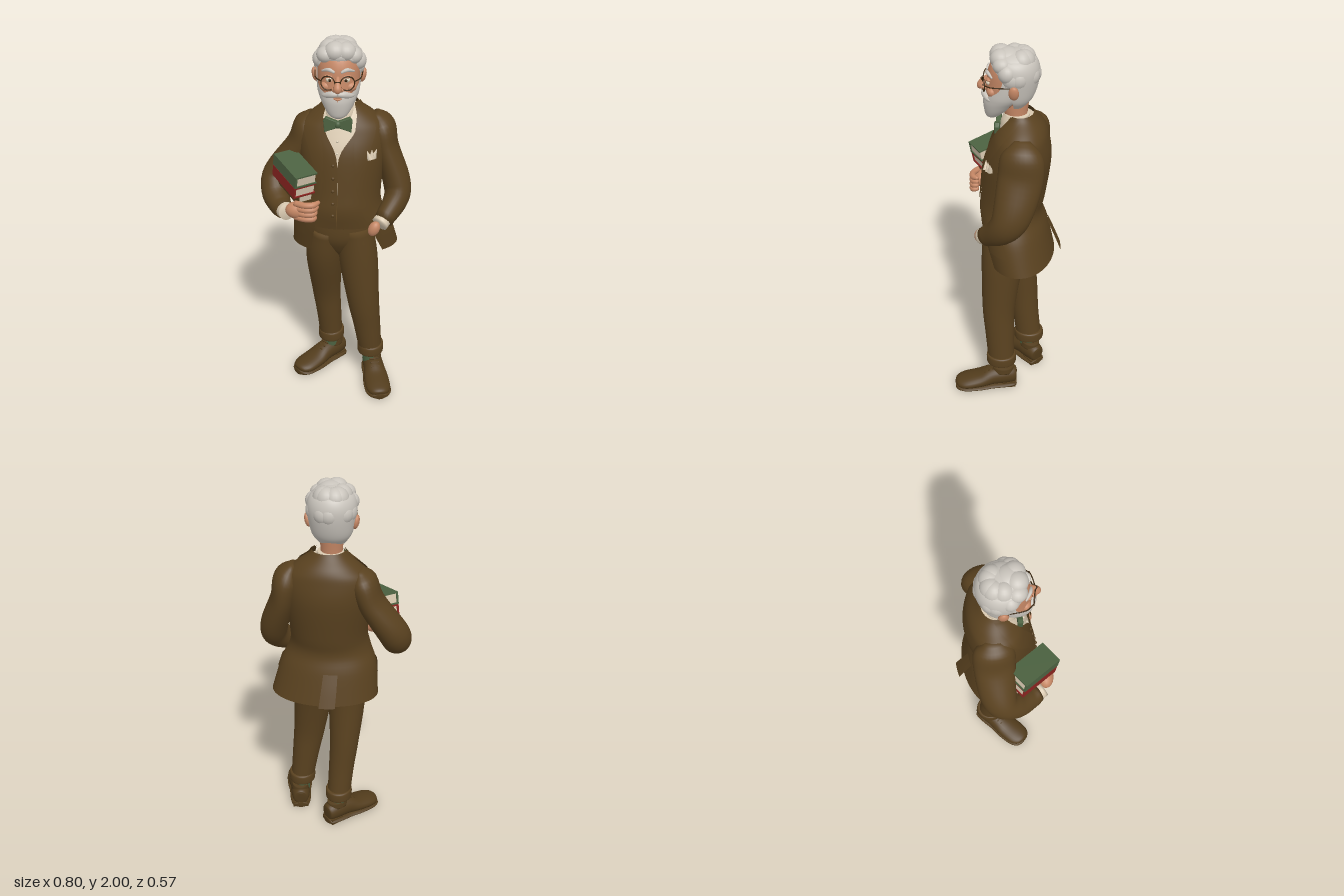
import * as THREE from 'three';

const mat = (name, color, side = THREE.FrontSide) => {
  const m = new THREE.MeshStandardMaterial({ color, side });
  m.name = name;
  return m;
};
const V = (x, y, z) => new THREE.Vector3(x, y, z);
const F = -Math.PI / 2; // ring angle of the front
const B = 3 * Math.PI / 2; // the front again, after going round the back

// Sweep of elliptical rings; row = [x, y, z, radiusA, radiusB, startAngle?, endAngle?]
function sweep(rows, { seg = 28, flat = false } = {}) {
  const open = rows[0].length > 5, steps = (rows.length - 1) * 5, cols = open ? seg + 1 : seg;
  const curve = f => new THREE.CatmullRomCurve3(rows.map(f), false, 'catmullrom', 0.5);
  const path = curve(r => V(r[0], r[1], r[2])), radii = curve(r => V(r[3], r[4], 0));
  const arcs = curve(r => V(r[5] ?? 0, r[6] ?? 2 * Math.PI, 0));
  const d = path.getPoint(1).sub(path.getPoint(0)).normalize();
  const ref = Math.abs(d.x) > 0.8 ? V(0, 1, 0) : V(1, 0, 0);
  const pos = [], idx = [];
  for (let i = 0; i <= steps; i++) {
    const u = i / steps, c = path.getPoint(u), r = radii.getPoint(u), a = arcs.getPoint(u);
    const t = flat ? V(0, 1, 0) : path.getTangent(u);
    const n1 = ref.clone().addScaledVector(t, -ref.dot(t)).normalize(), n2 = t.clone().cross(n1);
    for (let j = 0; j < cols; j++) {
      const w = a.x + (a.y - a.x) * j / seg;
      const p = c.clone().addScaledVector(n1, r.x * Math.cos(w)).addScaledVector(n2, r.y * Math.sin(w));
      pos.push(p.x, p.y, p.z);
      if (i === steps || j === seg) continue;
      const k = (j + 1) % cols, A = i * cols + j, C = i * cols + k;
      idx.push(A, C, A + cols, C, C + cols, A + cols);
    }
  }
  if (!open) { // end caps
    const n = pos.length / 3, e = steps * cols, p = path.getPoint(0), q = path.getPoint(1);
    pos.push(p.x, p.y, p.z, q.x, q.y, q.z);
    for (let j = 0; j < cols; j++) {
      const k = (j + 1) % cols;
      idx.push(n, k, j, n + 1, e + j, e + k);
    }
  }
  const g = new THREE.BufferGeometry();
  g.setAttribute('position', new THREE.Float32BufferAttribute(pos, 3));
  g.setIndex(idx);
  g.computeVertexNormals();
  return g;
}

export function createModel() {
  const suit = mat('brown tweed', 0x59411f, THREE.DoubleSide), leather = mat('shoe leather', 0x523c1c);
  const cream = mat('cream', 0xd9c9b0, THREE.DoubleSide), skin = mat('skin', 0xc58765);
  const hairMat = mat('grey hair', 0xc9c4bc, THREE.DoubleSide), green = mat('green cloth', 0x4c6241);
  const red = mat('red cloth', 0x8a2420), dark = mat('dark frame', 0x3a2710), iris = mat('eye white', 0xe0d4bc);
  const model = new THREE.Group();
  model.name = 'gentleman';
  const add = (name, geo, m, parent = model) => {
    const o = new THREE.Mesh(geo, m);
    o.name = name;
    parent.add(o);
    return o;
  };
  const ball = (name, m, x, y, z, a, b, c, parent = model) => {
    const o = add(name, new THREE.SphereGeometry(1, 20, 14), m, parent);
    o.position.set(x, y, z);
    o.scale.set(a, b, c);
    return o;
  };
  const box = (name, m, x, y, z, a, b, c, parent = model) => {
    const o = add(name, new THREE.BoxGeometry(a, b, c), m, parent);
    o.position.set(x, y, z);
    return o;
  };

  // Jacket: x, y, z, radius x, radius z, opening angle left, opening angle right
  const body = [
    [.05, .838, -.07, .285, .178, .8, .68], [.035, 1, -.032, .255, .178, .65, .58],
    [.03, 1.1, -.01, .215, .17, .57, .54], [.035, 1.2, -.023, .205, .172, .45, .5],
    [.035, 1.4, -.05, .23, .17, .29, .42], [.035, 1.52, -.065, .225, .142, .31, .49],
    [.035, 1.58, -.07, .17, .118, .44, .62], [.03, 1.63, -.067, .105, .082, .75, .85],
    [.03, 1.655, -.062, .082, .066, .95, 1]];
  const ring = (r, grow, t0, t1) => [r[0], r[1], r[2], r[3] + grow, r[4] + grow, t0, t1];
  add('jacket', sweep(body.map(r => ring(r, 0, F + r[5], B - r[6])), { seg: 48, flat: true }), suit);
  const lapelWidth = [.03, .3, .5, .6, .7, .8], upper = body.slice(3);
  add('leftLapel', sweep(upper.map((r, i) => ring(r, .01, F + r[5] - .02, F + r[5] + lapelWidth[i])), { seg: 10, flat: true }), suit);
  add('rightLapel', sweep(upper.map((r, i) => ring(r, .01, B - r[6] - lapelWidth[i], B - r[6] + .02)), { seg: 10, flat: true }), suit);
  const flap = [[.043, .935, -.05, .275, .187], [.035, 1.01, -.032, .26, .183]];
  for (const [name, a, b] of [['leftPocketFlap', F + .85, F + 1.4], ['rightPocketFlap', B - 1.4, B - .8]])
    add(name, sweep(flap.map(r => [...r, a, b]), { seg: 10, flat: true }), suit);
  add('backVent', sweep([[.05, .845, -.07, .285, .212], [.042, .93, -.052, .27, .194], [.035, 1.01, -.032, .25, .178]]
    .map(r => [...r, Math.PI / 2 - .02, Math.PI / 2 + .28]), { seg: 8, flat: true }), suit);

  // Waistcoat and shirt
  add('waistcoat', sweep(body.slice(1, 7).map((r, i) => {
    const g = [0, 0, 0, .02, .3, .48][i];
    return ring(r, -.01, F + g - .08 * (i < 4), B - g - .1);
  }), { seg: 48, flat: true }), suit);
  add('shirt', sweep(body.slice(3, 8).map(r => ring(r, -.018).slice(0, 5)), { seg: 36, flat: true }), cream);
  for (let i = 0; i < 5; i++) ball('waistcoatButton', suit, -.008, 1.36 - i * .068, [.115, .125, .136, .145, .149][i], .009, .009, .007);
  for (const y of [1.42, 1.48]) ball('shirtButton', iris, .012, y, y < 1.45 ? .098 : .08, .006, .006, .005);
  add('neck', sweep([[.02, 1.54, -.06, .06, .055], [.018, 1.62, -.04, .055, .055], [.016, 1.73, -.03, .062, .075]]), skin);
  add('shirtCollar', sweep([[.022, 1.565, -.028, .08, .073], [.022, 1.61, -.035, .077, .071], [.022, 1.645, -.045, .066, .062]], { flat: true }), cream);

  // Bow tie
  const bow = new THREE.Shape([[0, .012], [.06, .036], [.07, .02], [.066, -.036], [0, -.012], [-.066, -.036], [-.07, .02], [-.06, .036]].map(p => new THREE.Vector2(...p)));
  add('bowTie', new THREE.ExtrudeGeometry(bow, { depth: .014, bevelSize: .004, bevelThickness: .006, bevelSegments: 3 }), green).position.set(.014, 1.565, .047);
  ball('bowKnot', green, .014, 1.565, .059, .017, .02, .017);

  // Pocket square
  for (let i = 0; i < 3; i++) {
    const p = add('pocketSquare', new THREE.ConeGeometry(.016, .052, 8), cream);
    p.position.set(.172 + i * .017, 1.42, .1 - i * .012);
    p.rotation.z = .35 - i * .35;
  }

  // Sleeves, cuffs and hands
  add('leftSleeve', sweep([[.205, 1.58, -.085, .02, .04], [.235, 1.51, -.085, .07, .105], [.26, 1.39, -.08, .068, .115],
    [.318, 1.22, -.045, .073, .1], [.322, 1.13, .005, .067, .08], [.255, 1.04, .095, .05, .055]]), suit);
  add('leftCuff', sweep([[.262, 1.053, .085, .044, .044], [.235, 1.027, .118, .044, .044]]), cream);
  ball('leftHand', skin, .208, 1.01, .134, .03, .044, .028).rotation.z = -.4;
  add('rightSleeve', sweep([[-.13, 1.57, -.09, .02, .04], [-.15, 1.51, -.09, .068, .1], [-.195, 1.39, -.095, .07, .105],
    [-.31, 1.22, -.088, .08, .09], [-.32, 1.14, -.015, .075, .075], [-.29, 1.105, .065, .06, .06], [-.262, 1.1, .115, .05, .052]]), suit);
  add('rightCuff', sweep([[-.267, 1.1, .105, .046, .046], [-.245, 1.104, .145, .045, .045]]), cream);
  ball('rightPalm', skin, -.187, 1.128, .165, .066, .047, .045);
  for (let i = 0; i < 4; i++) {
    const y = 1.178 - i * .026, r = .0165;
    add('rightFinger', sweep([[-.2, y - .005, .178, r, r], [-.15, y - .002, .207, r, r], [-.105, y, .205, r, r], [-.076 - i * .008, y + .004, .175, .009, .009]], { seg: 12 }), skin);
  }

  // Books; the spine faces local -x
  const books = new THREE.Group();
  books.name = 'books';
  books.position.set(-.21, 1.275, .09);
  books.rotation.set(.2, .6, 0, 'YXZ');
  model.add(books);
  for (const [name, m, x, y, h, w, l] of [['greenBook', green, 0, .06, .066, .125, .235], ['redBook', red, 0, -.006, .062, .125, .23], ['brownBook', leather, .014, -.066, .054, .09, .21]]) {
    const b = new THREE.Group();
    b.name = name;
    b.position.set(x, y, 0);
    books.add(b);
    for (const s of [-1, 1]) box('cover', m, 0, s * (h / 2 - .004), 0, w, .008, l, b);
    box('spine', m, -w / 2 + .004, 0, 0, .01, h, l, b);
    box('pages', cream, 0, 0, 0, w - .014, h - .014, l - .012, b);
  }

  // Trousers
  add('trouserSeat', sweep([[.032, .79, -.01, .04, .06], [.032, .85, -.012, .13, .105], [.032, .93, -.012, .185, .138], [.03, 1.06, -.018, .185, .145]], { flat: true }), suit);
  add('rightTrouserLeg', sweep([[-.03, .17, -.112, .064, .07], [-.042, .35, -.09, .07, .074], [-.055, .52, -.07, .08, .085], [-.062, .78, -.02, .1, .118], [-.05, .96, -.008, .09, .13]]), suit);
  add('leftTrouserLeg', sweep([[.2, .17, .025, .064, .072], [.178, .35, .035, .075, .08], [.155, .52, .042, .088, .09], [.125, .78, .025, .105, .112], [.11, .96, .002, .09, .13]]), suit);

  // Turn-ups, socks and shoes
  for (const [side, x, z, turn, shift] of [['right', -.03, -.112, -.8, 0], ['left', .2, .025, .19, .014]]) {
    const foot = new THREE.Group();
    foot.name = side + 'Foot';
    foot.position.set(x, 0, z);
    model.add(foot);
    add('turnUp', sweep([[0, .155, 0, .066, .074], [0, .165, 0, .073, .082], [0, .205, 0, .073, .082], [0, .215, 0, .066, .074]]), suit, foot);
    add('sock', sweep([[0, .08, 0, .042, .05], [0, .2, 0, .046, .054]]), green, foot);
    const shoe = new THREE.Group();
    shoe.name = 'shoe';
    shoe.position.x = shift;
    shoe.rotation.y = turn;
    foot.add(shoe);
    const last = [[-.085, .065, .022, .035], [-.075, .066, .044, .048], [-.02, .072, .055, .058], [.05, .068, .058, .055], [.12, .05, .068, .042], [.2, .038, .068, .034], [.24, .034, .05, .026], [.255, .03, .024, .014]];
    add('shoeUpper', sweep(last.map(([l, y, w, h]) => [0, y, l, w, h])), leather, shoe);
    add('shoeSole', sweep(last.map(([l, , w]) => [0, .016, l * 1.02, w + .004, .016])), leather, shoe);
    box('heel', leather, 0, .016, -.04, .088, .032, .075, shoe);
    add('shoeCollar', sweep([[0, .1, -.01, .052, .065], [0, .135, -.012, .047, .058]]), leather, shoe);
    for (let i = 0; i < 3; i++) box('lace', leather, 0, .126 - i * .011, .05 + i * .022, .05, .006, .008, shoe).rotation.x = .4;
  }

  // Head
  const head = new THREE.Group();
  head.name = 'head';
  head.position.x = .016;
  model.add(head);
  add('face', sweep([[0, 1.655, .045, .03, .035], [0, 1.69, .035, .07, .072], [0, 1.75, .015, .1, .1], [0, 1.81, 0, .106, .11],
    [0, 1.88, -.015, .106, .115], [0, 1.93, -.02, .08, .09], [0, 1.95, -.02, .02, .02]], { flat: true }), skin, head);
  add('hair', sweep([[0, 1.69, -.035, .066, .05, 1.5], [0, 1.735, -.034, .1, .088, 1.5], [0, 1.8, -.03, .117, .115, 1.4],
    [0, 1.87, -.03, .126, .125, 1.1], [0, 1.92, -.025, .117, .12, .5], [0, 1.95, -.02, .09, .1, 0], [0, 1.965, -.015, .04, .05, 0]]
    .map(r => [...r.slice(0, 5), F + r[5], B - r[5]]), { seg: 40, flat: true }), hairMat, head);
  // Soft locks around the crown and a raised quiff
  ball('crown', hairMat, 0, 1.925, -.02, .105, .06, .11, head);
  for (let i = 0; i < 16; i++) {
    const t = -.1 + i * .42 % 3.4, row = i % 3;
    ball('lock', hairMat, (.075 - row * .014) * Math.cos(t), 1.862 + row * .033, -.03 - (.075 - row * .012) * Math.sin(t), .057, .06, .056, head);
  }
  for (const [x, y, z, a, b] of [[-.06, 1.928, .035, .05, .042], [-.015, 1.946, .04, .056, .05], [.035, 1.943, .036, .054, .048], [.07, 1.922, .025, .048, .043],
    [-.088, 1.895, 0, .044, .046], [.092, 1.89, 0, .046, .048], [.01, 1.95, .005, .066, .042]])
    ball('quiff', hairMat, x, y, z, a, b, a, head);

  // Beard and moustache
  add('beard', sweep([[0, 1.614, .085, .02, .016, 0], [0, 1.628, .08, .044, .036, 0], [0, 1.66, .064, .068, .06, 0], [0, 1.7, .046, .088, .082, 0],
    [0, 1.728, .03, .1, .095, .1], [0, 1.755, .02, .107, .099, .75], [0, 1.8, .008, .111, .1, 1.25], [0, 1.86, 0, .112, .1, 1.4]]
    .map(r => [...r.slice(0, 5), F + r[5], B - r[5]]), { seg: 40, flat: true }), hairMat, head);
  add('lowerLip', sweep([[-.024, 1.73, .118, .003, .003], [0, 1.725, .125, .005, .005], [.024, 1.73, .118, .003, .003]], { seg: 10 }), skin, head);
  add('nose', sweep([[0, 1.835, .1, .01, .01], [0, 1.81, .122, .015, .017], [0, 1.783, .134, .022, .025], [0, 1.768, .132, .012, .014]]), skin, head);
  for (const s of [-1, 1]) {
    add('moustache', sweep([[0, 1.752, .122, .013, .014], [s * .03, 1.75, .117, .017, .016], [s * .06, 1.74, .1, .013, .012], [s * .08, 1.735, .08, .005, .005]], { seg: 12 }), hairMat, head);
    ball('nostril', skin, s * .018, 1.778, .122, .013, .013, .015, head);
    ball('cheek', skin, s * .06, 1.778, .076, .032, .026, .027, head);
    ball('eye', iris, s * .042, 1.82, .092, .018, .014, .016, head);
    ball('pupil', dark, s * .04, 1.82, .106, .007, .008, .005, head);
    ball('eyelid', skin, s * .043, 1.836, .09, .024, .009, .018, head);
    add('eyebrow', sweep([[s * .016, 1.86, .108, .006, .006], [s * .045, 1.872, .1, .01, .009], [s * .08, 1.858, .074, .004, .004]], { seg: 10 }), hairMat, head);
    ball('ear', skin, s * .12, 1.8, -.035, .017, .038, .026, head).rotation.z = -s * .2;
    // Spectacles
    const rim = add('spectacleRim', new THREE.TorusGeometry(.036, .003, 8, 28), dark, head);
    rim.position.set(s * .048, 1.81, .12);
    rim.rotation.y = s * .25;
    add('spectacleArm', sweep([[s * .083, 1.818, .11, .003, .003], [s * .112, 1.822, .07, .003, .003], [s * .12, 1.825, -.02, .003, .003]], { seg: 8 }), dark, head);
  }
  add('spectacleBridge', sweep([[-.014, 1.816, .128, .003, .003], [0, 1.822, .138, .003, .003], [.014, 1.816, .128, .003, .003]], { seg: 8 }), dark, head);
  return model;
}
